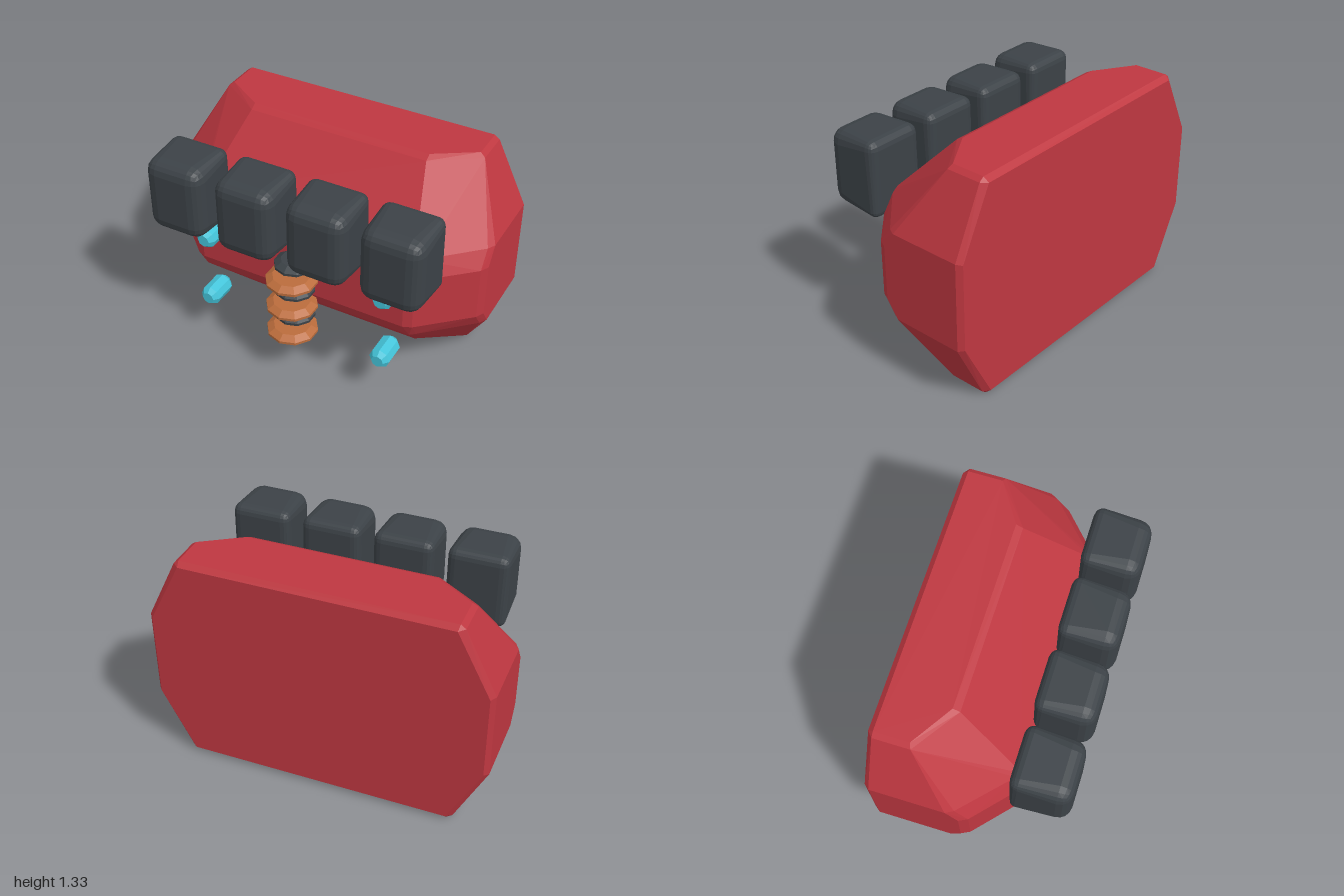
import * as THREE from 'three';
import { ConvexGeometry } from 'three/addons/geometries/ConvexGeometry.js';
import { RoundedBoxGeometry } from 'three/addons/geometries/RoundedBoxGeometry.js';

const mat = (name, color) => {
  const m = new THREE.MeshStandardMaterial({ color });
  m.name = name;
  return m;
};

// Faceted look: separate faces, one normal each
function facet(g) {
  const flat = g.index ? g.toNonIndexed() : g;
  flat.computeVertexNormals();
  return flat;
}

// Bevelled disc or stud turned around y
function turned(radius, half, inset, bevel, sides) {
  const p = [[0, -half], [radius - inset, -half], [radius, bevel - half],
    [radius, half - bevel], [radius - inset, half], [0, half]];
  return facet(new THREE.LatheGeometry(p.map(([x, y]) => new THREE.Vector2(x, y)), sides));
}

// Bevelled block whose rear edges are tighter than its front ones
function fingerGeometry() {
  const half = [0.18, 0.228, 0.17];
  const g = new RoundedBoxGeometry(0.36, 0.456, 0.34, 2, 0.08);
  const pos = g.attributes.position;
  for (let i = 0; i < pos.count; i++) {
    if (pos.getZ(i) > 0) continue;
    const k = pos.getY(i) < 0 ? 0.45 : 0.65;
    for (let a = 0; a < 3; a++) {
      const v = pos.getComponent(i, a);
      pos.setComponent(i, a, Math.sign(v) * (half[a] - (half[a] - Math.abs(v)) * (a === 0 ? 0.65 : k)));
    }
  }
  return facet(g);
}

export function createModel() {
  const model = new THREE.Group();
  model.name = 'gauntlet';
  const red = mat('red', 0xbe3740);
  const dark = mat('charcoal', 0x3c4247);
  const cyan = mat('cyan', 0x44c5da);
  const copper = mat('copper', 0xbb6c3c);

  const add = (name, geometry, material, x, y, z) => {
    const mesh = new THREE.Mesh(geometry, material);
    mesh.name = name;
    mesh.position.set(x, y, z);
    model.add(mesh);
    return mesh;
  };

  // Body: one quarter of the corners (x, height from middle, z), mirrored four ways
  const quarter = [
    [0.78, 0.64, -0.55], [0.975, 0.26, -0.55], // back plate
    [0.785, 0.667, -0.52], [0.815, 0.645, -0.52], [1, 0.267, -0.52], // back rim
    [0.785, 0.667, -0.32], [0.815, 0.645, -0.31], [0.55, 0.667, -0.17], [0.55, 0.645, -0.13], // top edge
    [1, 0.267, -0.09], [1, 0.165, -0.02], [0.975, 0.267, -0.045], [0.975, 0.165, 0.03], // side edge
    [0.7, 0.265, 0.215], [0.67, 0.265, 0.24], // brow
    [0.7, 0.165, 0.28], [0.65, 0.165, 0.3], // front plate
  ];
  const points = [];
  for (const [x, y, z] of quarter)
    for (const sx of [-1, 1])
      for (const sy of [-1, 1]) points.push(new THREE.Vector3(sx * x, sy * y, z));
  add('body', facet(new ConvexGeometry(points)), red, 0, 0.667, 0);

  // Four blocks along the upper front
  const finger = fingerGeometry();
  [-0.66, -0.22, 0.22, 0.66].forEach((x, i) => add('fingerBlock' + (i + 1), finger, dark, x, 1.042, 0.38));

  // Stacked discs down the middle
  const darkDisc = turned(0.117, 0.033, 0.04, 0.025, 10);
  const copperDisc = turned(0.15, 0.033, 0.04, 0.025, 10);
  for (let i = 0; i < 3; i++) {
    add('darkDisc' + (i + 1), darkDisc, dark, 0, 0.735 - i * 0.18, 0.35);
    add('copperDisc' + (i + 1), copperDisc, copper, 0, 0.645 - i * 0.18, 0.385);
  }

  // Glowing studs at the corners of the front
  const stud = turned(0.062, 0.098, 0.025, 0.03, 8);
  for (const x of [-0.562, 0.562])
    for (const y of [0.725, 0.296])
      add((x > 0 ? 'left' : 'right') + (y > 0.5 ? 'Upper' : 'Lower') + 'Stud', stud, cyan, x, y, 0.321).rotation.x = Math.PI / 2;

  return model;
}
